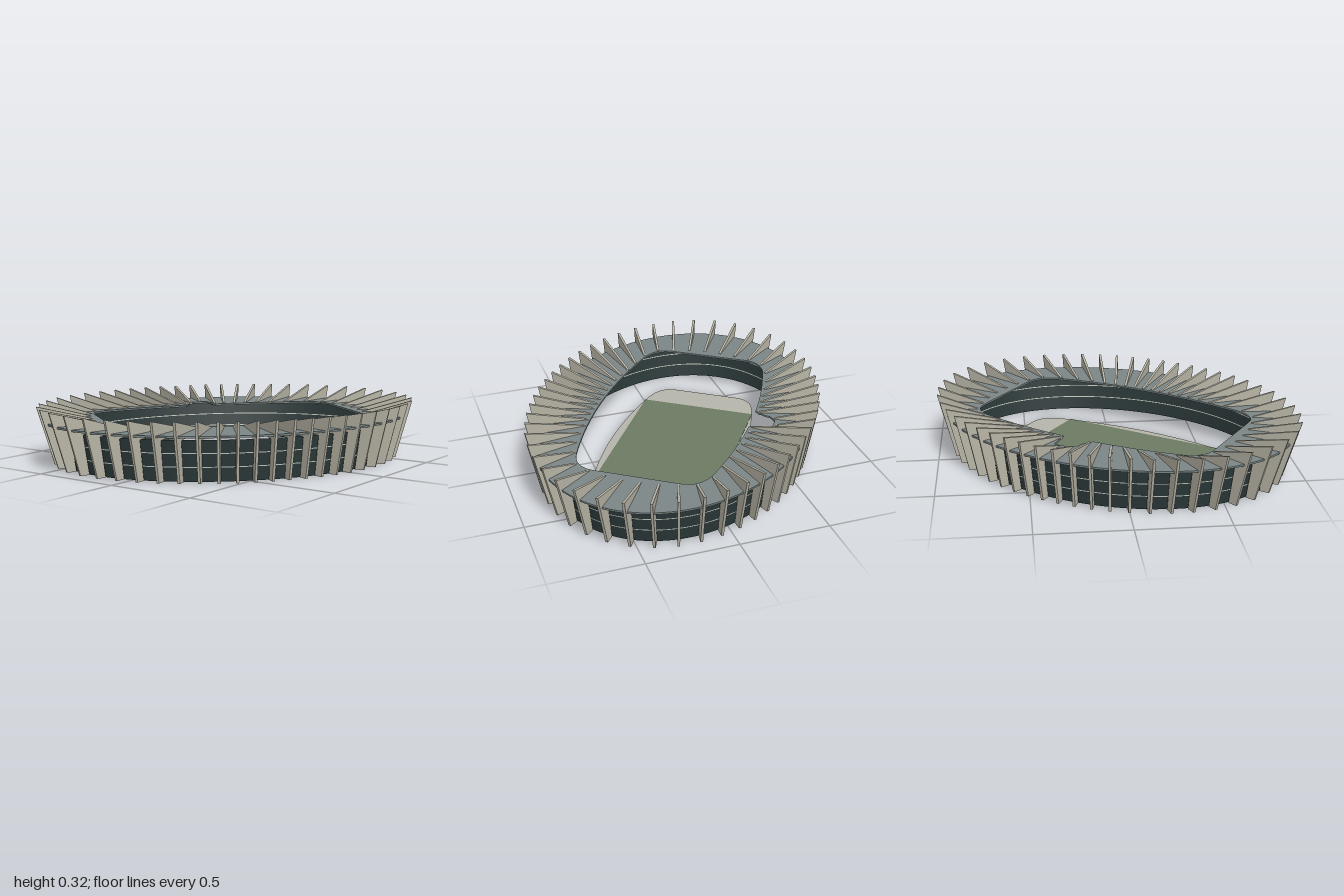
import * as THREE from 'three';

const TURN = THREE.MathUtils.degToRad(55); // plan rotation of the long axis

const material = (name, color, side = THREE.FrontSide) => {
  const m = new THREE.MeshStandardMaterial({ color, side });
  m.name = name;
  return m;
};

// Bowed rounded rectangle, with a small bay on one long side
function outline(hu, hv, r, bow, bay) {
  const e = hu - r, N = 36;
  const side = (u) => hv - bow * (u / e) ** 2;
  const s = new THREE.Shape();
  s.moveTo(-e, -side(e));
  for (let i = 1; i <= N; i++) {
    const u = -e + (2 * e * i) / N;
    s.lineTo(u, -side(u));
  }
  s.quadraticCurveTo(hu, -side(e) + 0.03, hu, -side(e) + r);
  s.lineTo(hu, side(e) - r);
  s.quadraticCurveTo(hu, side(e) - 0.03, e, side(e));
  let bayDone = false;
  for (let i = 1; i <= N; i++) {
    const u = e - (2 * e * i) / N;
    if (u < bay.max && u > bay.min) {
      if (!bayDone) {
        s.lineTo(bay.max, side(bay.max));
        s.lineTo(bay.max - 0.02, bay.out);
        s.lineTo(bay.min + 0.08, bay.out);
        s.lineTo(bay.min + 0.045, bay.out - 0.03);
        s.lineTo(bay.min + 0.035, bay.out - 0.07);
        s.lineTo(bay.min, side(bay.min));
      }
      bayDone = true;
    } else s.lineTo(u, side(u));
  }
  s.quadraticCurveTo(-hu, side(e) - 0.03, -hu, side(e) - r);
  s.lineTo(-hu, -side(e) + r);
  s.quadraticCurveTo(-hu, -side(e) + 0.03, -e, -side(e));
  return s;
}

// Horizontal plate from a plan shape
function plate(name, shape, y, depth, mat) {
  const g = new THREE.ExtrudeGeometry(shape, { depth, bevelEnabled: false, curveSegments: 64 });
  g.rotateX(-Math.PI / 2).rotateY(TURN).translate(0, y, 0);
  const mesh = new THREE.Mesh(g, mat);
  mesh.name = name;
  return mesh;
}

// Distance from the centre to an ellipse in plan direction phi
function reach(a, b, phi) {
  const t = phi - TURN;
  return 1 / Math.hypot(Math.cos(t) / a, Math.sin(t) / b);
}

export function createModel() {
  const model = new THREE.Group();
  model.name = 'stadium';

  const roofMat = material('roof grey', 0x7b8686);
  const finMat = material('fin stone', 0xb8b5a6);
  const glassMat = material('facade dark', 0x2a3737, THREE.DoubleSide);
  const lineMat = material('facade line', 0xc4c8be, THREE.DoubleSide);
  const slabMat = material('apron concrete', 0xb5b5aa);
  const pitchMat = material('pitch green', 0x6c7b63);

  // Ground apron and pitch
  const apron = outline(0.68, 0.39, 0.14, 0.06, { min: -0.085, max: 0.05, out: 0.51 });
  model.add(plate('apron', apron, 0, 0.005, slabMat));
  const pitch = new THREE.Mesh(new THREE.BoxGeometry(0.995, 0.007, 0.68), pitchMat);
  pitch.name = 'pitch';
  pitch.position.y = 0.0045;
  pitch.rotation.y = TURN;
  model.add(pitch);

  // Flat elliptical roof ring with an opening
  const opening = outline(0.73, 0.44, 0.15, 0.06, { min: -0.12, max: 0.065, out: 0.565 });
  const roofShape = new THREE.Shape().absellipse(0, 0, 1.047, 0.769, 0, Math.PI * 2);
  roofShape.holes.push(opening);
  model.add(plate('roof', roofShape, 0.238, 0.01, roofMat));

  // Leaning facade, with two thin horizontal lines on both faces
  const flare = (y) => 0.965 + 0.035 * (y / 0.22);
  const band = (name, y0, y1, scale, mat) => {
    const g = new THREE.CylinderGeometry(flare(y1) * scale, flare(y0) * scale, y1 - y0, 120, 1, true);
    g.rotateY(Math.PI / 2).scale(0.968, 1, 0.717).rotateY(TURN).translate(0, (y0 + y1) / 2, 0);
    const mesh = new THREE.Mesh(g, mat);
    mesh.name = name;
    model.add(mesh);
  };
  band('facade', 0, 0.22, 1, glassMat);
  for (const y of [0.075, 0.147]) {
    band('facadeLineOuter', y, y + 0.005, 1.003, lineMat);
    band('facadeLineInner', y, y + 0.005, 0.997, lineMat);
  }

  // Radial fins: a leaning leg, a raised tip and a beam tapering to the opening
  const rim = opening.getPoints(16).map((p) => p.clone().rotateAround(new THREE.Vector2(), TURN));
  const fins = new THREE.Group();
  fins.name = 'fins';
  const COUNT = 50, THICK = 0.014;
  for (let i = 0; i < COUNT; i++) {
    const phi = (i * Math.PI * 2) / COUNT;
    const dir = new THREE.Vector2(Math.cos(phi), Math.sin(phi));
    const inner = rim.reduce((best, p) =>
      p.dot(dir) / p.length() > best.dot(dir) / best.length() ? p : best).length() + 0.015;
    const profile = new THREE.Shape([
      [reach(0.994, 0.745, phi), 0],
      [reach(1.09, 0.8, phi), 0.325],
      [inner, 0.251],
      [inner, 0.236],
      [reach(0.975, 0.722, phi), 0.216],
      [reach(0.94, 0.697, phi), 0],
    ].map(([x, y]) => new THREE.Vector2(x, y)));
    const g = new THREE.ExtrudeGeometry(profile, { depth: THICK, bevelEnabled: false });
    g.translate(0, 0, -THICK / 2).rotateY(phi);
    const fin = new THREE.Mesh(g, finMat);
    fin.name = 'fin';
    fins.add(fin);
  }
  model.add(fins);
  return model;
}
